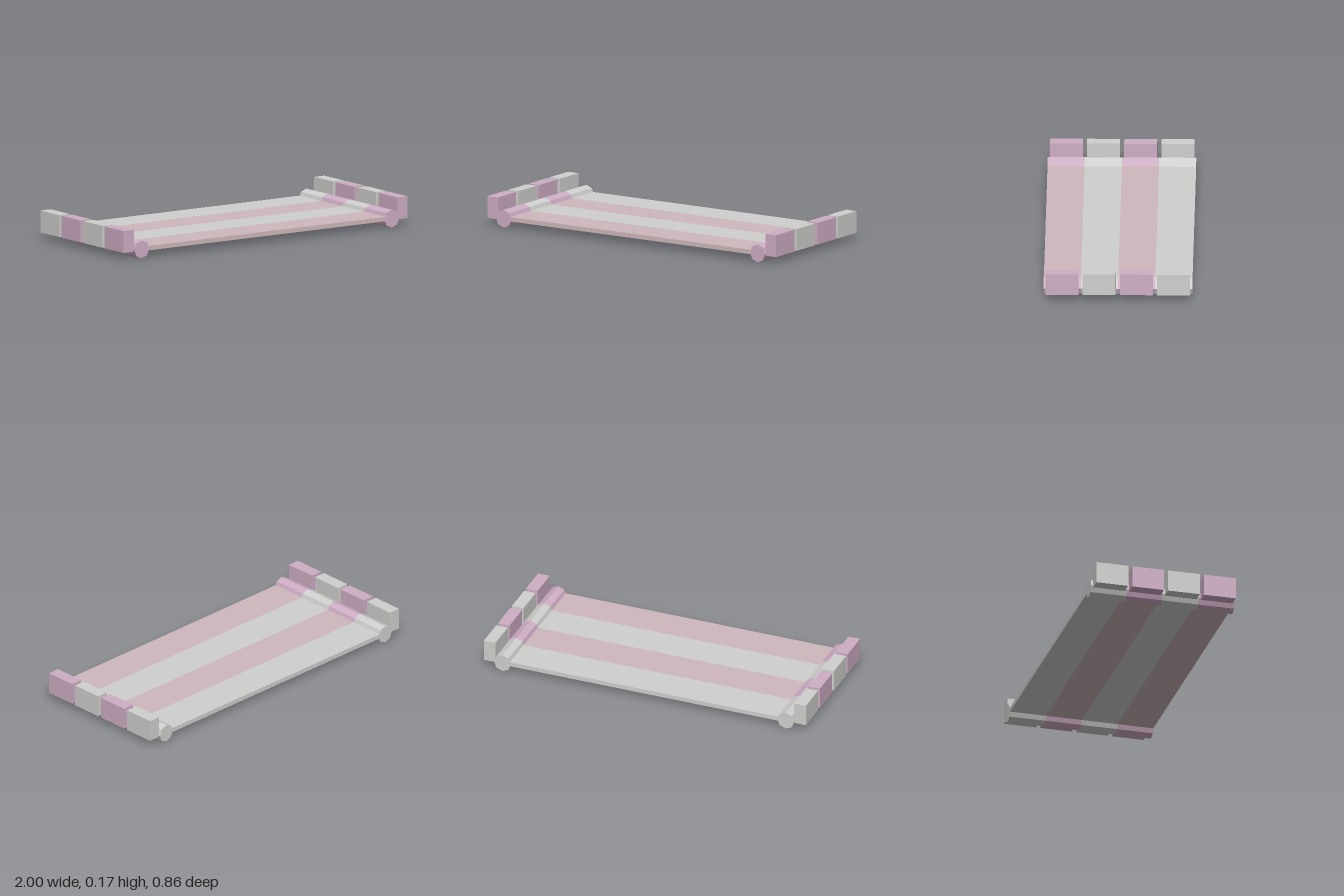
import * as THREE from 'three';

export function createModel() {
  const mat = (name, color) => {
    const m = new THREE.MeshStandardMaterial({ color, flatShading: true });
    m.name = name;
    return m;
  };
  const grey = mat('pale grey', 0xd0d1ce);
  const pink = mat('mauve pink', 0xcfaec5);
  const deckPink = mat('dusty rose', 0xcfb9bd);

  const model = new THREE.Group();
  model.name = 'stripedPlatform';
  const add = (name, geometry, material, x, y, z) => {
    const mesh = new THREE.Mesh(geometry, material);
    mesh.name = name;
    mesh.position.set(x, y, z);
    model.add(mesh);
  };

  const strip = 0.214; // depth of one of the four stripes
  const radius = 0.0525;
  const deck = new THREE.BoxGeometry(1.668, 0.026, strip);
  const roller = new THREE.CylinderGeometry(radius, radius, strip, 8).rotateX(Math.PI / 2);
  const block = new THREE.BoxGeometry(0.072, 0.128, 0.19);

  // Four stripes from back to front, alternating grey and pink
  for (let i = 0; i < 4; i++) {
    const z = (i - 1.5) * strip;
    const isPink = i % 2 === 1;
    add('deckStripe', deck, isPink ? deckPink : grey, 0, 0.055, z);
    // Eight-sided roller section and end block on both sides
    for (const side of [-1, 1]) {
      const end = side > 0 ? 'left' : 'right';
      add(end + 'Roller', roller, isPink ? pink : grey, side * 0.88, radius, z);
      add(end + 'EndBlock', block, isPink ? pink : grey, side * 0.964, 0.106, z);
    }
  }
  return model;
}
